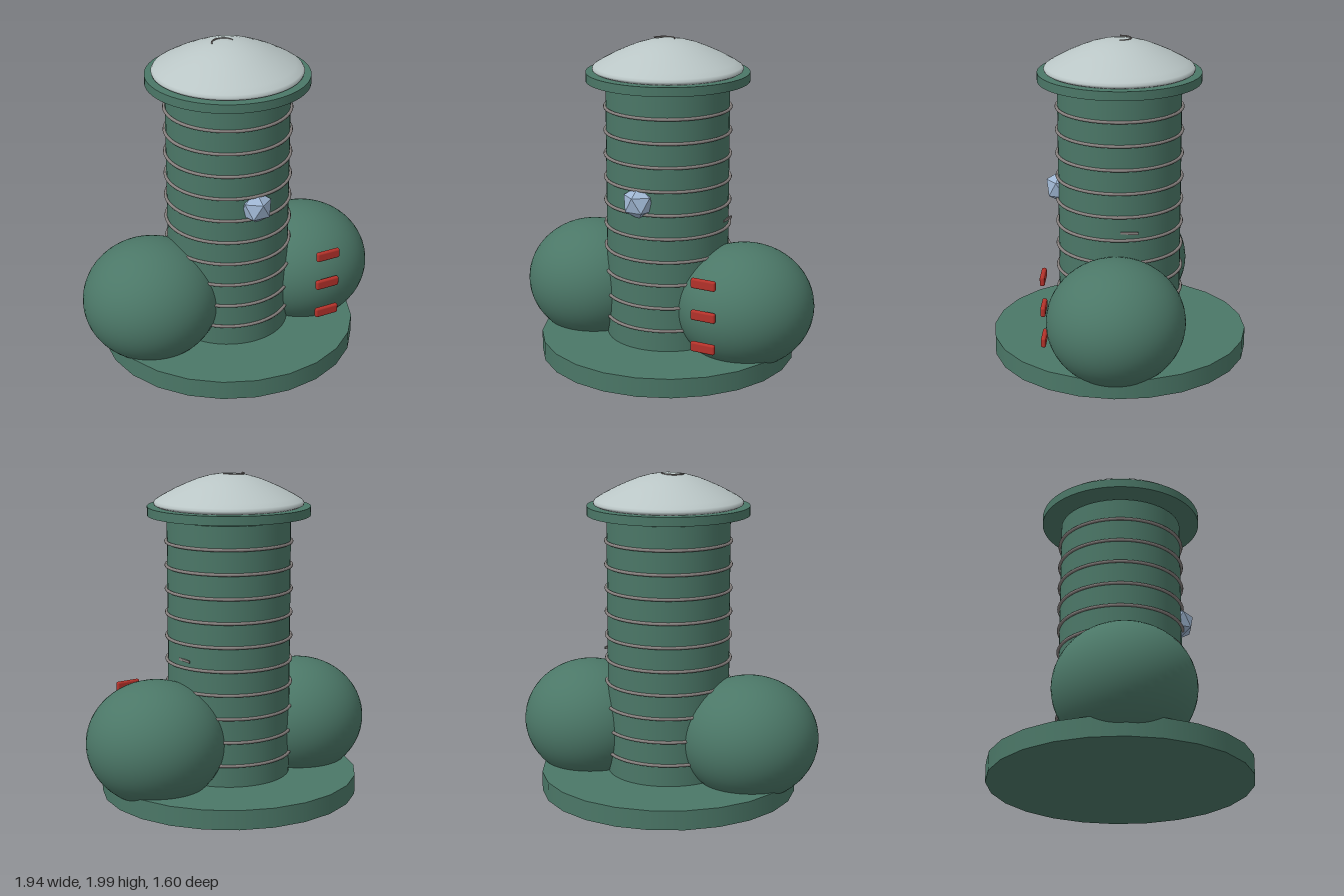
import * as THREE from 'three';
import { RoundedBoxGeometry } from 'three/addons/geometries/RoundedBoxGeometry.js';

export function createModel() {
  const model = new THREE.Group();
  const paint = (name, color, extra = {}) => {
    const m = new THREE.MeshStandardMaterial({ color, ...extra });
    m.name = name;
    return m;
  };
  const green = paint('green', 0x4b7767);
  const silver = paint('silver', 0xbac6c6);
  const grey = paint('warm grey', 0x857f7d);
  const red = paint('red', 0xb4322a);
  const blue = paint('pale blue', 0x9fb6d2, { flatShading: true });

  const add = (name, geometry, material, x = 0, y = 0, z = 0) => {
    const mesh = new THREE.Mesh(geometry, material);
    mesh.name = name;
    mesh.position.set(x, y, z);
    model.add(mesh);
    return mesh;
  };

  // Base, column and the plate floating just above it
  add('base', new THREE.CylinderGeometry(0.8, 0.8, 0.12, 24), green, 0, 0.06, 0);
  add('column', new THREE.CylinderGeometry(0.38, 0.38, 1.66, 48), green, 0, 0.89, 0);
  add('capPlate', new THREE.CylinderGeometry(0.5, 0.5, 0.055, 64), green, 0, 1.768, 0);

  // Evenly spaced bands around the column
  for (let i = 0; i < 10; i++) {
    const band = add('band', new THREE.TorusGeometry(0.386, 0.01, 8, 64), grey, 0, 0.255 + i * 0.1472, 0);
    band.rotation.x = Math.PI / 2;
  }

  // Shallow dome with a rolled rim
  const profile = [
    [0, 1.795], [0.44, 1.795], [0.457, 1.805], [0.46, 1.817], [0.45, 1.832], [0.41, 1.857],
    [0.33, 1.9], [0.25, 1.936], [0.19, 1.96], [0.12, 1.98], [0.06, 1.99], [0, 1.993],
  ].map(([r, y]) => new THREE.Vector2(r, y));
  add('dome', new THREE.LatheGeometry(profile, 64), silver);

  // Small curl on the crown
  const curl = add('crownCurl', new THREE.TorusGeometry(0.068, 0.005, 6, 24, Math.PI), grey, -0.03, 1.99, 0);
  curl.rotation.x = -Math.PI / 2;

  // Flattened side globes
  for (const side of [-1, 1]) {
    const globe = add('sideGlobe', new THREE.SphereGeometry(1, 48, 32), green, side * 0.54, 0.384, 0);
    globe.scale.set(0.428, 0.383, 0.42);
  }

  // Red buttons in front of the left globe
  for (const y of [0.24, 0.44, 0.64]) {
    add('button', new RoundedBoxGeometry(0.16, 0.062, 0.03, 3, 0.012), red, 0.475, y, 0.438);
  }

  // Faceted gem, one corner pointing straight up
  const gemGeometry = new THREE.IcosahedronGeometry(0.104, 0);
  const corner = new THREE.Vector3(0, 1, (1 + Math.sqrt(5)) / 2).normalize();
  gemGeometry.applyQuaternion(new THREE.Quaternion().setFromUnitVectors(corner, new THREE.Vector3(0, 1, 0)));
  add('gem', gemGeometry, blue, 0, 1.055, 0.36);

  // Thin inlay on the left of the column
  add('inlay', new THREE.BoxGeometry(0.009, 0.015, 0.11), grey, 0.377, 0.89, -0.075);

  return model;
}
